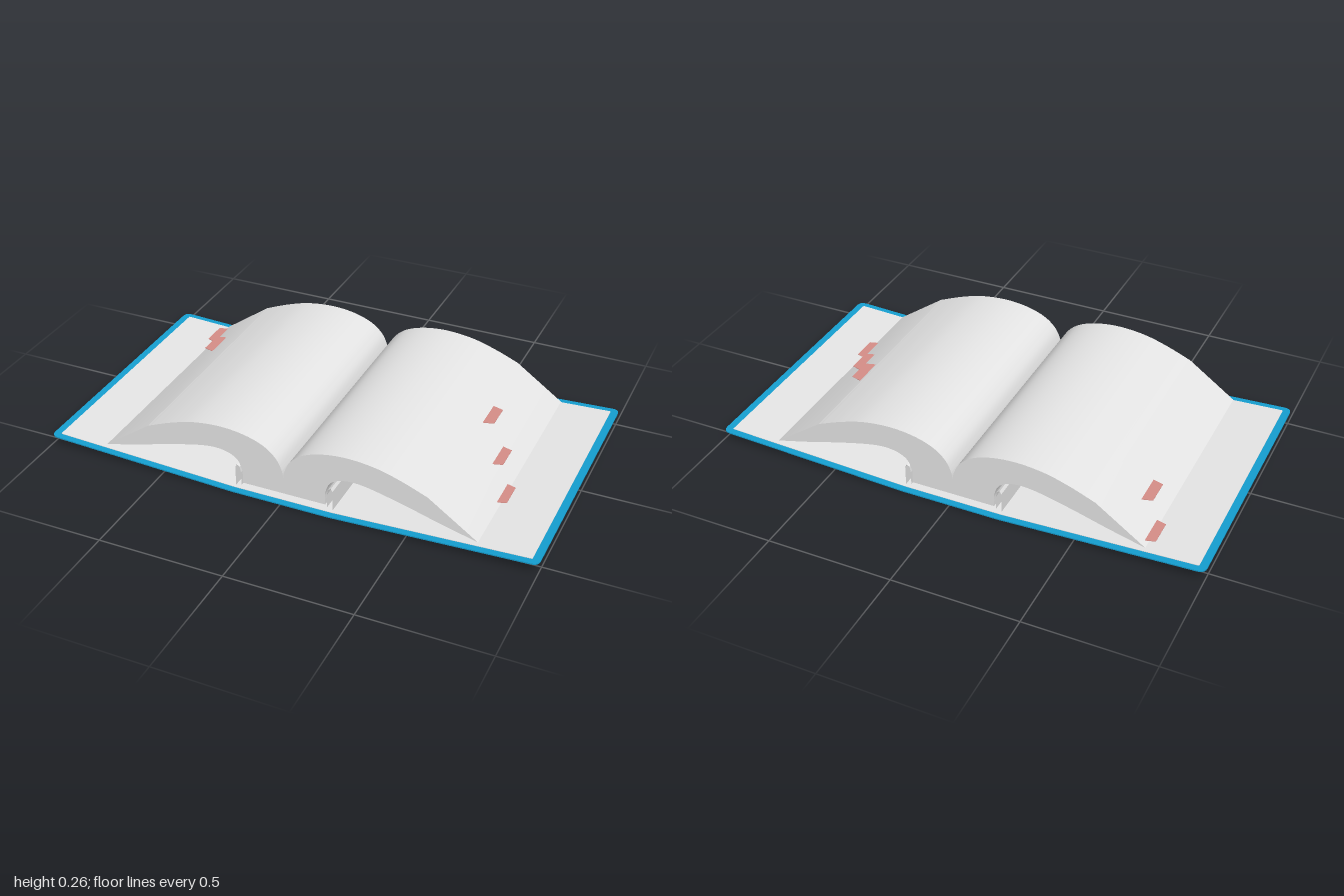
import * as THREE from 'three';
import { toCreasedNormals } from 'three/addons/utils/BufferGeometryUtils.js';

const SPINE = 0.2; // half width of the flat spine
const SLOPE = 0.044; // rise of the boards per unit of x

function material(name, color, side = THREE.FrontSide) {
  const m = new THREE.MeshStandardMaterial({ color, side });
  m.name = name;
  return m;
}

// Flat outline in x/z, thickened upwards from y
function plate(points, thickness, y) {
  const shape = points instanceof THREE.Shape ? points : new THREE.Shape(points);
  const g = new THREE.ExtrudeGeometry(shape, { depth: thickness, bevelEnabled: false, curveSegments: 5 });
  g.rotateX(-Math.PI / 2);
  g.translate(0, y, 0);
  return g;
}

// One half of a board: straight at the spine, rounded outer corners, tilted upwards
function boardHalf(side, halfX, halfZ, r, thickness, y) {
  const s = new THREE.Shape();
  s.moveTo(SPINE, -halfZ);
  s.lineTo(halfX - r, -halfZ);
  s.quadraticCurveTo(halfX, -halfZ, halfX, -halfZ + r);
  s.lineTo(halfX, halfZ - r);
  s.quadraticCurveTo(halfX, halfZ, halfX - r, halfZ);
  s.lineTo(SPINE, halfZ);
  const g = plate(s, thickness, y);
  const p = g.attributes.position;
  for (let i = 0; i < p.count; i++) p.setY(i, p.getY(i) + (p.getX(i) - SPINE) * SLOPE);
  g.computeVertexNormals();
  if (side < 0) g.rotateY(Math.PI);
  return g;
}

const spline = (pts, n) =>
  new THREE.SplineCurve(pts.map(([x, y]) => new THREE.Vector2(x, y))).getPoints(n);

export function createModel() {
  const book = new THREE.Group();
  book.name = 'openBook';
  const blue = material('coverBlue', 0x159fd1);
  const paper = material('paper', 0xe7e7e7);
  const liner = material('linerPaper', 0xe7e7e7, THREE.DoubleSide);
  const red = material('tabRed', 0xd68e88);

  function add(name, geometry, mat, parent = book) {
    const mesh = new THREE.Mesh(geometry, mat);
    mesh.name = name;
    parent.add(mesh);
    return mesh;
  }

  // Cover boards with inset endpapers
  for (const side of [1, -1]) {
    const label = side > 0 ? 'left' : 'right';
    add(label + 'Cover', boardHalf(side, 1, 0.546, 0.03, 0.005, 0.002), blue);
    add(label + 'Endpaper', boardHalf(side, 0.97, 0.52, 0.004, 0.002, 0.007), paper);
  }
  add('spineCover', new THREE.BoxGeometry(SPINE * 2, 0.005, 1.092).translate(0, 0.0045, 0), blue);
  add('spinePanel', new THREE.BoxGeometry(SPINE * 2, 0.009, 1.04).translate(0, 0.0045, 0), paper);

  // Page block: two arched halves meeting in the gutter
  const under = spline([[0.17, 0.05], [0.172, 0.09], [0.195, 0.135], [0.25, 0.158],
    [0.33, 0.156], [0.47, 0.123], [0.62, 0.08], [0.765, 0.042]], 50);
  const over = spline([[0.57, 0.18], [0.47, 0.22], [0.37, 0.249], [0.26, 0.26], [0.16, 0.25],
    [0.08, 0.222], [0.03, 0.18], [0.007, 0.135], [0, 0.1]], 60);
  const half = [new THREE.Vector2(0.17, 0.03), ...under, ...over];
  const mirrored = half.slice(0, -1).reverse().map((v) => new THREE.Vector2(-v.x, v.y));
  const block = new THREE.ExtrudeGeometry(new THREE.Shape([...half, ...mirrored]), {
    depth: 1.02, bevelEnabled: false,
  }).translate(0, 0, -0.51);
  add('pages', toCreasedNormals(block, 0.22), paper);

  // Thin liner wrapped around the foot of the pages, hooked outwards at both sides
  const hook = [[0.2, 0.012], [0.2, 0.095], [0.193, 0.107], [0.182, 0.1], [0.177, 0.075], [0.177, 0.018]];
  const path = [...hook, ...hook.slice().reverse().map(([x, y]) => [-x, y])];
  const sheet = new THREE.PlaneGeometry(1, 1, path.length - 1, 1);
  const p = sheet.attributes.position;
  for (let i = 0; i < p.count; i++) {
    const [x, y] = path[i % path.length];
    p.setXYZ(i, x, y, i < path.length ? -0.51 : 0.51);
  }
  const flatSheet = sheet.toNonIndexed();
  flatSheet.computeVertexNormals();
  add('spineLiner', flatSheet, liner);

  // Index tabs: [inner x, height, centre z]
  const tabs = new THREE.Group();
  tabs.name = 'indexTabs';
  book.add(tabs);
  const outline = [[0, -0.065], [0.045, -0.052], [0.045, 0.052], [0, 0.065]]
    .map(([x, z]) => new THREE.Vector2(x, z));
  for (const [x, y, z] of [[0.58, 0.17, -0.108], [0.672, 0.102, 0.047], [0.742, 0.05, 0.203],
    [-0.745, 0.05, -0.418], [-0.675, 0.102, -0.265]]) {
    const tab = add('indexTab', plate(outline, 0.002, -0.001), red, tabs);
    tab.position.set(x, y, z);
    if (x < 0) tab.rotation.y = Math.PI;
  }
  return book;
}
